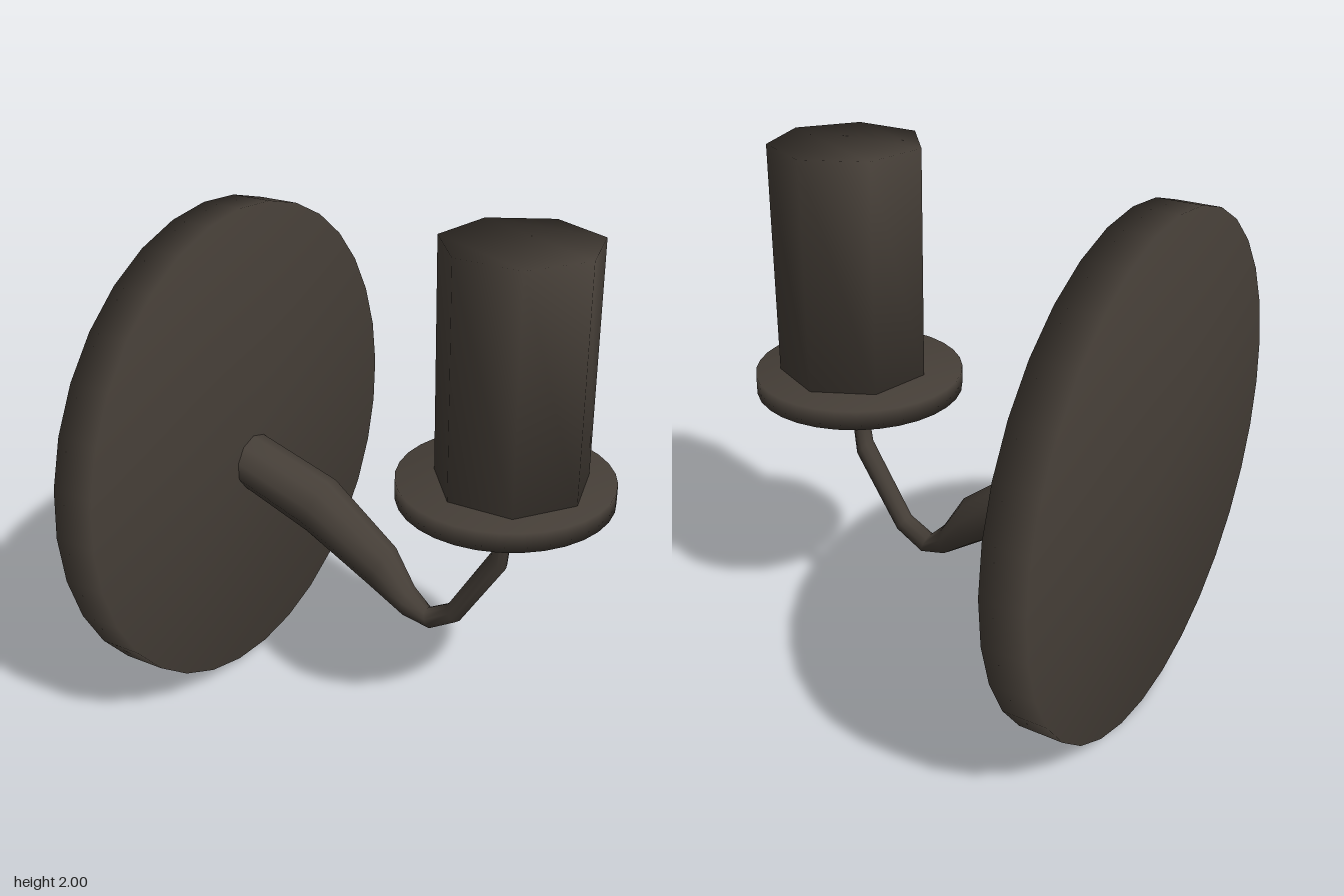
import * as THREE from 'three';
import { mergeVertices } from 'three/addons/utils/BufferGeometryUtils.js';

const iron = new THREE.MeshStandardMaterial({ color: 0x453e37 });
iron.name = 'dark iron';

// Skin a list of equal-sized rings, smooth shaded, with optional flat ends
function loft(rings, capped) {
  const n = rings[0].length;
  const index = [];
  for (let i = 0; i < rings.length - 1; i++) {
    for (let j = 0; j < n; j++) {
      const a = i * n + j, b = i * n + (j + 1) % n;
      index.push(a, b, a + n, b, b + n, a + n);
    }
  }
  if (capped) {
    const last = (rings.length - 1) * n;
    const cap = (a, b, c) => index.push(last + a, last + b, last + c, c, b, a);
    for (let lo = 0, hi = n - 1; hi - lo > 1; hi--) {
      cap(lo, lo + 1, hi);
      lo++;
      if (hi - lo > 1) cap(lo, hi - 1, hi);
    }
  }
  const geometry = new THREE.BufferGeometry().setFromPoints(rings.flat());
  geometry.setIndex(index);
  geometry.computeVertexNormals();
  return geometry;
}

// Disc whose rim normals blend into its faces
function disc(radius, thickness) {
  const geometry = new THREE.CylinderGeometry(radius, radius, thickness, 32);
  geometry.deleteAttribute('normal');
  geometry.deleteAttribute('uv');
  const merged = mergeVertices(geometry);
  merged.computeVertexNormals();
  return merged;
}

export function createModel() {
  const group = new THREE.Group();
  const add = (name, geometry) => {
    const mesh = new THREE.Mesh(geometry, iron);
    mesh.name = name;
    group.add(mesh);
    return mesh;
  };

  // Round wall plate standing on edge
  const wallPlate = add('wallPlate', disc(0.972, 0.168));
  wallPlate.rotation.z = -Math.PI / 2;
  wallPlate.position.set(-0.766, 0.972, 0);

  // Tapering arm: upper x, y, lower x, y, half depth
  const sections = [
    [-0.75, 1.025, -0.75, 0.8, 0.118],
    [-0.68, 1.0, -0.68, 0.773, 0.118],
    [-0.33, 0.88, -0.4, 0.655, 0.118],
    [-0.04, 0.65, -0.12, 0.48, 0.09],
    [0.05, 0.5, 0.03, 0.38, 0.062],
    [0.12, 0.43, 0.15, 0.35, 0.042],
    [0.22, 0.485, 0.27, 0.42, 0.04],
    [0.4, 0.78, 0.46, 0.72, 0.04],
    [0.425, 0.95, 0.485, 0.95, 0.036],
    [0.385, 1.035, 0.475, 1.035, 0.06],
  ];
  const sides = 10;
  add('arm', loft(sections.map(([ux, uy, lx, ly, w]) =>
    Array.from({ length: sides }, (_, j) => {
      const t = j / sides * Math.PI * 2, c = Math.cos(t) / 2;
      return new THREE.Vector3(
        (ux + lx) / 2 + (ux - lx) * c,
        (uy + ly) / 2 + (uy - ly) * c,
        w * Math.sin(t));
    })), false));

  // Drip tray
  add('dripTray', disc(0.406, 0.075)).position.set(0.441, 1.068, -0.004);

  // Seven-sided candle
  add('candle', loft([1.1, 2].map((y) =>
    Array.from({ length: 7 }, (_, j) => {
      const t = Math.PI + j / 7 * Math.PI * 2;
      return new THREE.Vector3(0.467 + 0.292 * Math.sin(t), y, 0.292 * Math.cos(t));
    })), true));

  return group;
}
